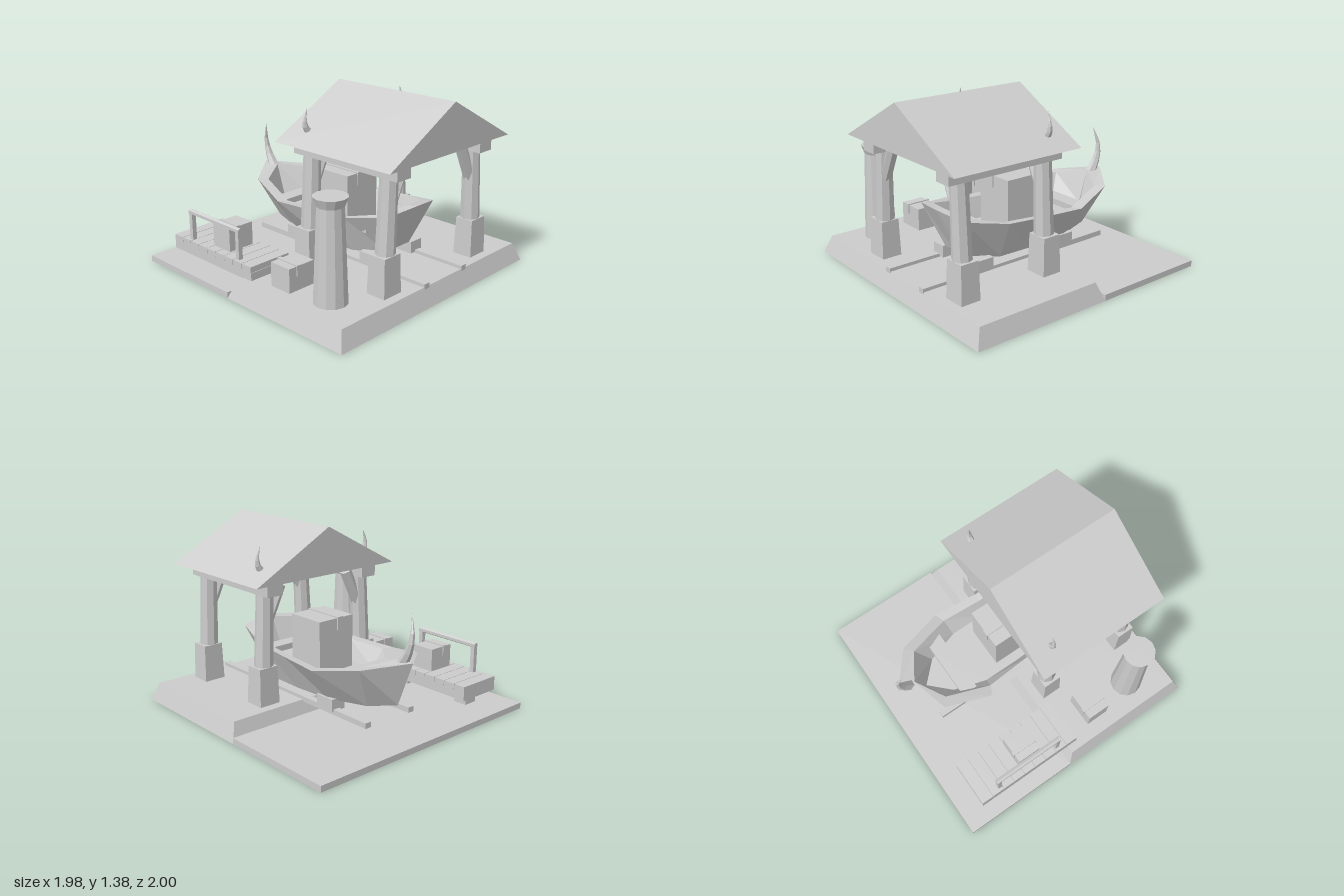
import * as THREE from 'three';

const CX = 0.095; // centre line of the boathouse

export function createModel() {
  const model = new THREE.Group();
  const grey = new THREE.MeshStandardMaterial({ color: 0xcccccc, side: THREE.DoubleSide });
  grey.name = 'plain grey';

  // Flat-shaded mesh from any geometry
  function add(name, geometry, parent = model) {
    const flat = geometry.index ? geometry.toNonIndexed() : geometry;
    flat.computeVertexNormals();
    const mesh = new THREE.Mesh(flat, grey);
    mesh.name = name;
    parent.add(mesh);
    return mesh;
  }

  // Box given by its ranges; the top may shrink, the underside may be left open
  function block(name, [x0, x1], [y0, y1], [z0, z1], { inset = 0, open = false, parent = model } = {}) {
    const g = new THREE.BoxGeometry(x1 - x0, y1 - y0, z1 - z0);
    const p = g.attributes.position;
    for (let i = 0; i < p.count; i++) {
      if (p.getY(i) > 0) {
        p.setX(i, p.getX(i) - Math.sign(p.getX(i)) * inset);
        p.setZ(i, p.getZ(i) - Math.sign(p.getZ(i)) * inset);
      }
    }
    if (open) {
      const index = Array.from(g.index.array);
      index.splice(18, 6);
      g.setIndex(index);
    }
    g.translate((x0 + x1) / 2, (y0 + y1) / 2, (z0 + z1) / 2);
    return add(name, g, parent);
  }

  // Straight timber between two points
  function timber(name, a, b, r0, r1, sides = 6) {
    const from = new THREE.Vector3(...a), to = new THREE.Vector3(...b);
    const dir = to.clone().sub(from);
    const g = new THREE.CylinderGeometry(r1, r0, dir.length(), sides);
    g.applyQuaternion(new THREE.Quaternion().setFromUnitVectors(new THREE.Vector3(0, 1, 0), dir.normalize()));
    g.translate(...from.add(to).multiplyScalar(0.5).toArray());
    return add(name, g);
  }

  // Curved horn that tapers to a point
  function horn(name, points, radius) {
    const curve = new THREE.CatmullRomCurve3(points.map(p => new THREE.Vector3(...p)));
    const rings = 6, sides = 6;
    const g = new THREE.TubeGeometry(curve, rings, radius, sides);
    const p = g.attributes.position, v = new THREE.Vector3();
    for (let i = 0; i < p.count; i++) {
      const t = Math.floor(i / (sides + 1)) / rings;
      const c = curve.getPointAt(t);
      v.fromBufferAttribute(p, i).sub(c).multiplyScalar(1.002 - t).add(c);
      p.setXYZ(i, v.x, v.y, v.z);
    }
    return add(name, g);
  }

  // Crate with a strap folded over its lid
  function crate(name, x, y, z, strapX, drop) {
    const group = new THREE.Group();
    group.name = name;
    model.add(group);
    block('crateBody', x, y, z, { parent: group });
    block('crateStrap', strapX, [y[1] - drop, y[1] + 0.008], [z[0] - 0.008, z[1] + 0.008], { parent: group });
  }

  // Ground: sloped platform and lower slab, both hollow underneath
  block('platform', [-0.99, 0.985], [0, 0.135], [-0.09, 1], { inset: 0.05, open: true }).name = 'platform';
  block('lowerSlab', [-0.99, 0.985], [0, 0.045], [-1, -0.09], { open: true });

  // Slipway rails and cradle blocks
  for (const s of [-1, 1]) {
    const rx = CX + s * 0.208, bx = CX + s * 0.19;
    block('slipRail', [rx - 0.026, rx + 0.026], [0.12, 0.16], [-0.7, 0.955]);
    for (const z of [0.455, -0.295]) {
      block('cradleBlock', [bx - 0.058, bx + 0.058], [0.145, 0.235], [z - 0.082, z + 0.082]);
    }
  }

  // Shelter: feet, leaning posts, braces, beams and roof horns
  for (const s of [-1, 1]) {
    const at = d => CX + s * d;
    for (const z of [0.805, 0.107]) {
      block('postFoot', [at(0.477) - 0.085, at(0.477) + 0.085], [0.125, 0.415], [z - 0.077, z + 0.077], { inset: 0.008 });
      timber('post', [at(0.47), 0.41, z], [at(0.448), 0.945, z], 0.07, 0.062, 8);
      timber('brace', [at(0.45), 0.7, z], [at(0.315), 0.985, z], 0.044, 0.044);
    }
    block('beam', [at(0.443) - 0.067, at(0.443) + 0.067], [0.94, 1.036], [-0.01, 0.925]);
    horn('roofHorn', [[at(0.465), 1.09, 0.1], [at(0.505), 1.15, 0.1], [at(0.508), 1.2, 0.1], [at(0.483), 1.285, 0.098]], 0.03);
  }
  const gable = new THREE.Shape([[-0.64, 1.035], [0.64, 1.035], [0, 1.38]].map(p => new THREE.Vector2(...p)));
  add('roof', new THREE.ExtrudeGeometry(gable, { depth: 1.04, bevelEnabled: false }).translate(CX, 0, -0.065));

  // Boat hull: stations from bow to stern as
  // [rim z, half width, y], [keel z, half width, y], [inner rim z, half width], [floor z, half width]
  const stations = [
    [[-0.9, 0, 0.585], [-0.77, 0, 0.25], [-0.76, 0], [-0.68, 0]],
    [[-0.68, 0.28, 0.54], [-0.6, 0.125, 0.225], [-0.63, 0.215], [-0.53, 0.15]],
    [[-0.33, 0.39, 0.47], [-0.3, 0.22, 0.215], [-0.3, 0.315], [-0.28, 0.23]],
    [[0.02, 0.355, 0.475], [0.02, 0.235, 0.21], [0.02, 0.295], [0.02, 0.23]],
    [[0.31, 0.345, 0.495], [0.3, 0.235, 0.215], [0.3, 0.285], [0.28, 0.22]],
    [[0.63, 0.255, 0.555], [0.52, 0.125, 0.235], [0.56, 0.205], [0.47, 0.13]],
    [[0.68, 0, 0.585], [0.53, 0, 0.245], [0.61, 0], [0.49, 0]],
  ];
  const FLOOR = 0.33;
  const row = pick => {
    const side = stations.map(pick);
    const other = side.slice(1, -1).reverse().map(([x, y, z]) => [-x, y, z]);
    return [...side, ...other].map(([x, y, z]) => [x + CX, y, z]);
  };
  const rows = [
    row(([, k]) => [k[1], k[2], k[0]]),
    row(([r]) => [r[1], r[2], r[0]]),
    row(([r, , i]) => [i[1], r[2] - 0.005, i[0]]),
    row(([, , , f]) => [f[1], FLOOR, f[0]]),
  ];
  const n = rows[0].length;
  const verts = [];
  const quad = (a, b, c, d) => verts.push(...a, ...b, ...c, ...a, ...c, ...d);
  for (let r = 0; r < 3; r++) {
    for (let i = 0; i < n; i++) {
      const j = (i + 1) % n;
      quad(rows[r][i], rows[r + 1][i], rows[r + 1][j], rows[r][j]);
    }
  }
  for (let i = 0; i < stations.length - 1; i++) {
    const m = (n - i) % n, k = n - i - 1;
    const [bottom, floor] = [rows[0], rows[3]];
    quad(floor[i], floor[m], floor[k], floor[i + 1]);
    quad(bottom[i], bottom[i + 1], bottom[k], bottom[m]);
  }
  const hull = new THREE.BufferGeometry();
  hull.setAttribute('position', new THREE.Float32BufferAttribute(verts, 3));
  add('boatHull', hull);

  // Boat fittings
  block('boatBench', [-0.16, 0.35], [0.39, 0.435], [-0.505, -0.385]);
  block('boatBench', [-0.16, 0.35], [0.39, 0.435], [0.33, 0.44]);
  horn('prowHorn', [[CX, 0.53, -0.78], [CX, 0.64, -0.85], [0.09, 0.76, -0.882], [0.06, 0.915, -0.845]], 0.045);
  crate('boatCrate', [-0.065, 0.25], [FLOOR, 0.725], [-0.14, 0.17], [0.035, 0.085], 0.09);

  // Jetty: planked deck on two piles with a handrail
  const pitch = 0.87 / 9;
  for (let i = 0; i < 9; i++) {
    const z = -0.83 + i * pitch;
    block('jettyPlank', [-0.88, -0.53], [0.19, 0.236], [z, z + pitch - 0.004]);
  }
  block('jettyFrame', [-0.88, -0.53], [0.128, 0.192], [-0.83, 0.04]);
  for (const z of [-0.7, -0.11]) {
    block('jettyPile', [-0.755, -0.645], [0.03, 0.13], [z - 0.056, z + 0.056], { open: true });
  }
  for (const z of [-0.655, -0.13]) {
    block('railPost', [-0.857, -0.823], [0.23, 0.44], [z - 0.017, z + 0.017]);
  }
  timber('handrail', [-0.84, 0.448, -0.675], [-0.84, 0.448, -0.11], 0.021, 0.021);

  // Cargo on the jetty and the platform
  crate('jettyCrate', [-0.81, -0.6], [0.235, 0.41], [-0.45, -0.27], [-0.75, -0.72], 0.07);
  crate('platformCrate', [-0.83, -0.605], [0.13, 0.31], [0.19, 0.37], [-0.765, -0.735], 0.07);

  // Tapered tower with a flared top
  const tower = [[0, 0.125], [0.12, 0.125], [0.093, 0.8], [0.118, 0.865], [0, 0.865]];
  add('tower', new THREE.LatheGeometry(tower.map(p => new THREE.Vector2(...p)), 12).translate(-0.722, 0, 0.645));

  return model;
}
